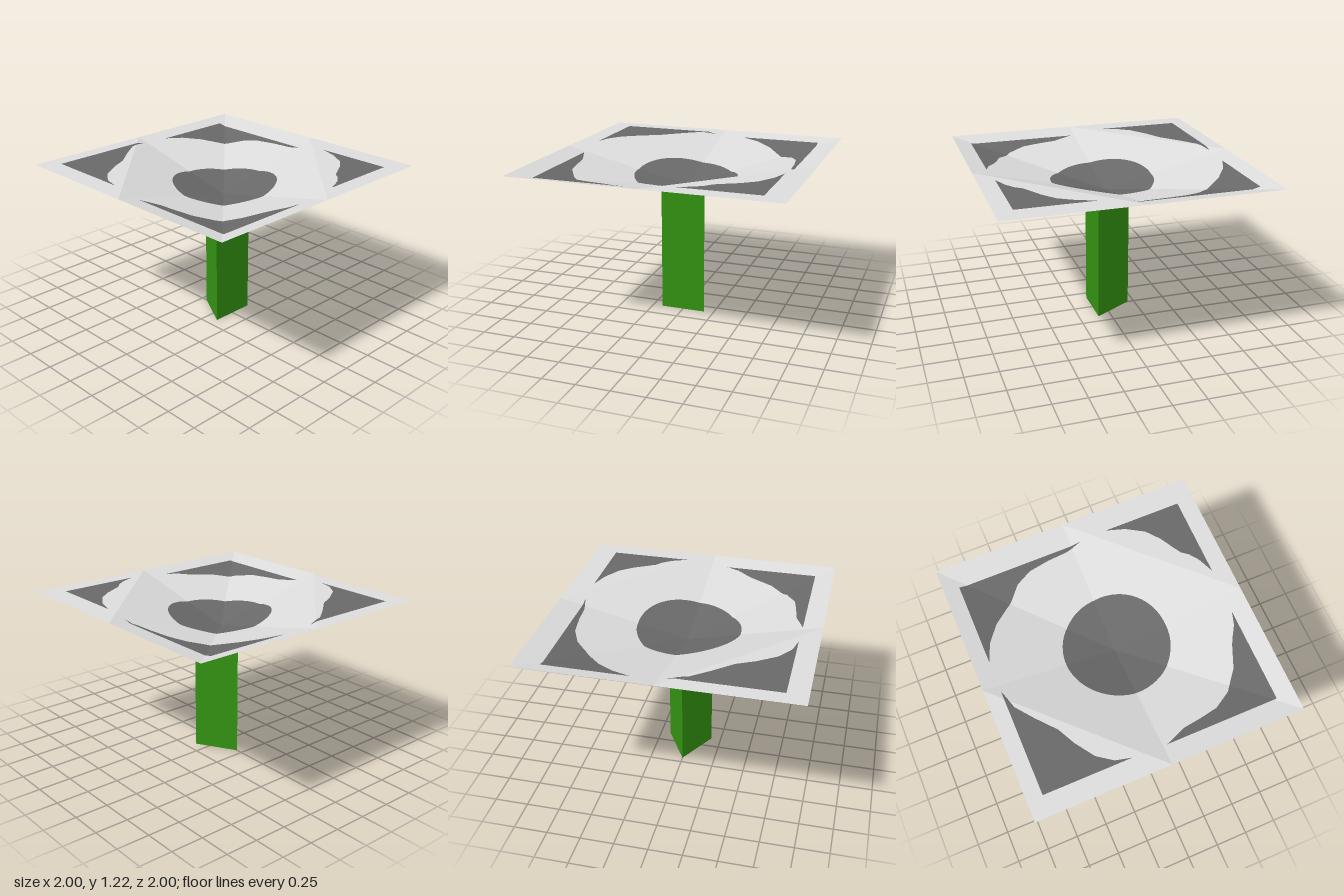
import * as THREE from 'three';

const BASE = 0.99, RISE = 0.23;

// Folded square: two quadrants dip as a tilted triangle plus a flat corner,
// the other two are creased along the diagonal.
function height(x, z) {
  const ax = Math.abs(x), az = Math.abs(z);
  return BASE + RISE * (x * z > 0 ? Math.min(1, ax + az) : Math.max(ax, az));
}

// Distance from the centre to a closed outline along one direction
function reach(outline, angle) {
  const c = Math.cos(angle), s = Math.sin(angle);
  let best = 0;
  outline.forEach(([x0, z0], i) => {
    const [x1, z1] = outline[(i + 1) % outline.length];
    const dx = x1 - x0, dz = z1 - z0;
    const det = dx * s - dz * c;
    if (Math.abs(det) < 1e-9) return;
    const u = (z0 * c - x0 * s) / det;
    const r = (x0 + u * dx) * c + (z0 + u * dz) * s;
    if (u > -1e-6 && u < 1 + 1e-6 && r > best) best = r;
  });
  return best;
}

// Outlines seen from above, as [x, z]
const EDGE = [[1, -1], [1, 1], [-1, 1], [-1, -1]];
const FOLD = [[1, 0], [0, 1], [-1, 1], [-1, 0], [0, -1], [1, -1]];
const FRAME = [[0.825, -0.885], [0.825, 0.87], [-0.85, 0.87], [-0.85, -0.885]];
const DISC = Array.from({ length: 64 }, (_, i) => {
  const a = (i / 64) * Math.PI * 2;
  return [-0.004 + 0.394 * Math.cos(a), 0.015 + 0.394 * Math.sin(a)];
});
const RING = [
  [0.825, 0.28], [0.78, 0.42], [0.7, 0.55], [0.6, 0.63], [0.5, 0.685], [0.44, 0.72], [0.4, 0.77], [0.33, 0.82], [0.21, 0.87],
  [-0.13, 0.87], [-0.23, 0.84], [-0.32, 0.785], [-0.36, 0.765], [-0.52, 0.7], [-0.66, 0.59], [-0.74, 0.46], [-0.765, 0.33], [-0.785, 0.19], [-0.85, 0.03],
  [-0.85, -0.23], [-0.82, -0.35], [-0.74, -0.46], [-0.6, -0.555], [-0.47, -0.62], [-0.33, -0.74], [-0.2, -0.84], [-0.05, -0.885],
  [0.19, -0.885], [0.33, -0.83], [0.46, -0.735], [0.55, -0.63], [0.6, -0.57], [0.7, -0.48], [0.76, -0.36], [0.785, -0.2], [0.795, -0.05], [0.825, 0.07],
];

// Directions: even steps plus every outline corner
const ANGLES = Array.from({ length: 240 }, (_, i) => (i / 240) * Math.PI * 2);
for (const [x, z] of [...FRAME, ...RING]) ANGLES.push((Math.atan2(z, x) + Math.PI * 2) % (Math.PI * 2));
ANGLES.sort((a, b) => a - b);
ANGLES.push(Math.PI * 2);

// Piece of the folded sheet between two outlines, split where the sheet folds
function sheetBand(inner, outer) {
  const rows = ANGLES.map((a) => {
    const hi = outer(a), lo = Math.min(inner(a), hi);
    const mid = THREE.MathUtils.clamp(reach(FOLD, a), lo, hi);
    return [lo, mid, hi].map((r) => {
      const x = r * Math.cos(a), z = r * Math.sin(a);
      return new THREE.Vector3(x, height(x, z), z);
    });
  });
  const points = [];
  const tri = (a, b, c) => {
    if (new THREE.Triangle(a, b, c).getArea() > 1e-8) points.push(a, b, c);
  };
  for (let i = 0; i + 1 < rows.length; i++) {
    const a = rows[i], b = rows[i + 1];
    for (let k = 0; k < 2; k++) {
      tri(a[k], b[k], b[k + 1]);
      tri(a[k], b[k + 1], a[k + 1]);
    }
  }
  const geometry = new THREE.BufferGeometry().setFromPoints(points);
  geometry.computeVertexNormals();
  return geometry;
}

export function createModel() {
  const model = new THREE.Group();
  const material = (name, color, options = {}) => {
    const m = new THREE.MeshStandardMaterial({ color, ...options });
    m.name = name;
    return m;
  };
  const pale = material('pale grey', 0xdcdcdc, { side: THREE.DoubleSide });
  const dark = material('dark grey', 0x696969, { side: THREE.DoubleSide });
  const green = material('stem green', 0x339212, { flatShading: true });

  const add = (name, geometry, mat, parent = model) => {
    const mesh = new THREE.Mesh(geometry, mat);
    mesh.name = name;
    parent.add(mesh);
    return mesh;
  };

  // Flower head: centre, petals, dark corners and pale rim
  const head = new THREE.Group();
  head.name = 'flowerHead';
  model.add(head);
  const to = (outline) => (a) => reach(outline, a);
  add('flowerCentre', sheetBand(() => 0, to(DISC)), dark, head);
  add('petals', sheetBand(to(DISC), to(RING)), pale, head);
  add('cornerPatches', sheetBand(to(RING), to(FRAME)), dark, head);
  add('rim', sheetBand(to(FRAME), to(EDGE)), pale, head);

  // Three-sided stem with its flat face to the front
  const stem = add('stem', new THREE.CylinderGeometry(0.2, 0.2, BASE, 3, 1, false, Math.PI), green);
  stem.position.y = BASE / 2;

  return model;
}
